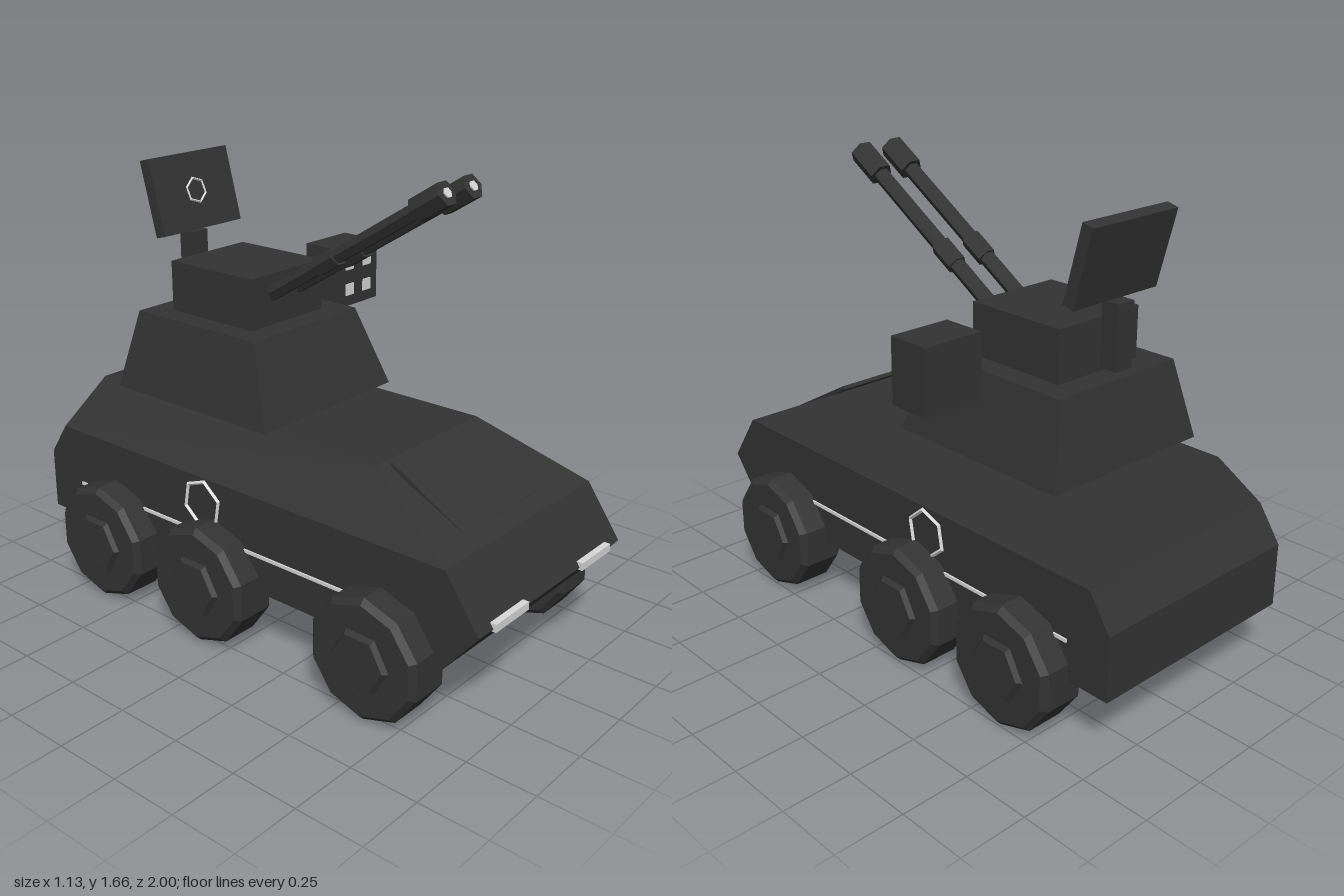
import * as THREE from 'three';

export function createModel() {
  const dark = new THREE.MeshStandardMaterial({ color: 0x333333, flatShading: true });
  dark.name = 'charcoal armour';
  const pale = new THREE.MeshStandardMaterial({ color: 0xd8d8d8, flatShading: true });
  pale.name = 'pale trim';

  const model = new THREE.Group();
  model.name = 'armouredVehicle';
  const body = new THREE.Group();
  body.name = 'vehicleBody';
  body.position.x = -0.02;
  model.add(body);

  const add = (name, geo, mat, x = 0, y = 0, z = 0, parent = body) => {
    const mesh = new THREE.Mesh(geo, mat);
    mesh.name = name;
    mesh.position.set(x, y, z);
    parent.add(mesh);
    return mesh;
  };
  const box = (w, h, d) => new THREE.BoxGeometry(w, h, d);

  // Tapered block: each end is [halfWidth, y, backZ, frontZ]
  const taper = (bottom, top) => {
    const geo = box(2, 2, 2);
    const p = geo.attributes.position;
    for (let i = 0; i < p.count; i++) {
      const [w, y, back, front] = p.getY(i) > 0 ? top : bottom;
      p.setXYZ(i, p.getX(i) * w, y, p.getZ(i) > 0 ? front : back);
    }
    return geo;
  };

  // Lower hull: side profile extruded across the width
  const profile = [[0.85, 0.23], [0.99, 0.4], [0.86, 0.585], [-0.915, 0.585], [-1, 0.46], [-1, 0.23]];
  const hullShape = new THREE.Shape(profile.map(([z, y]) => new THREE.Vector2(z, y)));
  const lower = new THREE.ExtrudeGeometry(hullShape, { depth: 0.85, bevelEnabled: false });
  lower.rotateY(-Math.PI / 2).translate(0.425, 0, 0);
  add('lowerHull', lower, dark);
  add('upperHull', taper([0.425, 0.585, -0.915, 0.86], [0.285, 0.77, -0.83, 0.48]), dark);
  add('frontHatch', box(0.48, 0.014, 0.33), dark, 0, 0.69, 0.652).rotation.x = 0.51;

  // Turret and cap
  add('turret', taper([0.34, 0.78, -0.685, 0.05], [0.27, 1.065, -0.632, -0.06]), dark);
  add('turretCap', box(0.37, 0.185, 0.395), dark, 0, 1.1575, -0.345);

  // Twin guns, each built along its own y axis
  const rod = (r, len, sides = 6) => new THREE.CylinderGeometry(r, r, len, sides, 1, false, Math.PI / 2);
  for (const side of [-1, 1]) {
    const gun = new THREE.Group();
    gun.name = side > 0 ? 'leftGun' : 'rightGun';
    gun.position.set(side * 0.07, 1.335, 0.1);
    gun.rotation.x = Math.PI / 2 - 0.555;
    body.add(gun);
    add('barrel', rod(0.029, 0.92), dark, 0, 0.06, 0, gun);
    add('collar', rod(0.037, 0.1), dark, 0, 0, 0, gun);
    add('muzzle', rod(0.045, 0.13), dark, 0, 0.49, 0, gun);
    add('muzzleTip', rod(0.018, 0.006), pale, 0, 0.557, 0, gun);
  }

  // Side launcher with four pale ports
  add('launcherPod', box(0.23, 0.23, 0.16), dark, 0.47, 1.125, -0.29);
  for (const x of [-0.051, 0.051])
    for (const y of [-0.05, 0.05])
      add('launcherPort', box(0.045, 0.045, 0.008), pale, 0.47 + x, 1.125 + y, -0.209);

  // Rear mast with tilted panel
  add('mast', box(0.072, 0.225, 0.07), dark, 0, 1.21, -0.615);
  const panel = new THREE.Group();
  panel.name = 'radarPanel';
  panel.position.set(0, 1.465, -0.618);
  panel.rotation.x = -0.26;
  body.add(panel);
  add('panelPlate', box(0.39, 0.28, 0.045), dark, 0, 0, 0, panel);
  const panelRing = new THREE.TorusGeometry(0.046, 0.005, 4, 6).rotateZ(0.7);
  add('panelRing', panelRing, pale, 0, 0, 0.025, panel);

  // Wheels: ten-sided tyre and six-sided hub
  const tyreProfile = [[0, 0.355], [0.2, 0.355], [0.22, 0.375], [0.22, 0.51], [0.2, 0.53], [0, 0.53]];
  const tyreGeo = new THREE.LatheGeometry(
    tyreProfile.map(([r, y]) => new THREE.Vector2(r, y)), 10, Math.PI / 2);
  const hubGeo = new THREE.CylinderGeometry(0.1, 0.12, 0.02, 6).translate(0, 0.535, 0);
  const hullRing = new THREE.TorusGeometry(0.086, 0.008, 4, 6).rotateZ(0.7).rotateY(Math.PI / 2);
  for (const side of [-1, 1]) {
    for (const z of [0.62, -0.12, -0.63]) {
      const wheel = new THREE.Group();
      wheel.name = 'wheel';
      wheel.position.set(0, 0.222, z);
      wheel.rotation.z = -side * Math.PI / 2;
      body.add(wheel);
      add('tyre', tyreGeo, dark, 0, 0, 0, wheel);
      add('hub', hubGeo, dark, 0, 0, 0, wheel);
    }
    // Side markings and front lamps
    add('sideRing', hullRing, pale, side * 0.427, 0.488, -0.175);
    add('sideStripe', box(0.008, 0.012, 1.43), pale, side * 0.427, 0.372, -0.115);
    add('headlamp', box(0.184, 0.028, 0.03), pale, side * 0.256, 0.405, 0.985);
  }
  return model;
}
